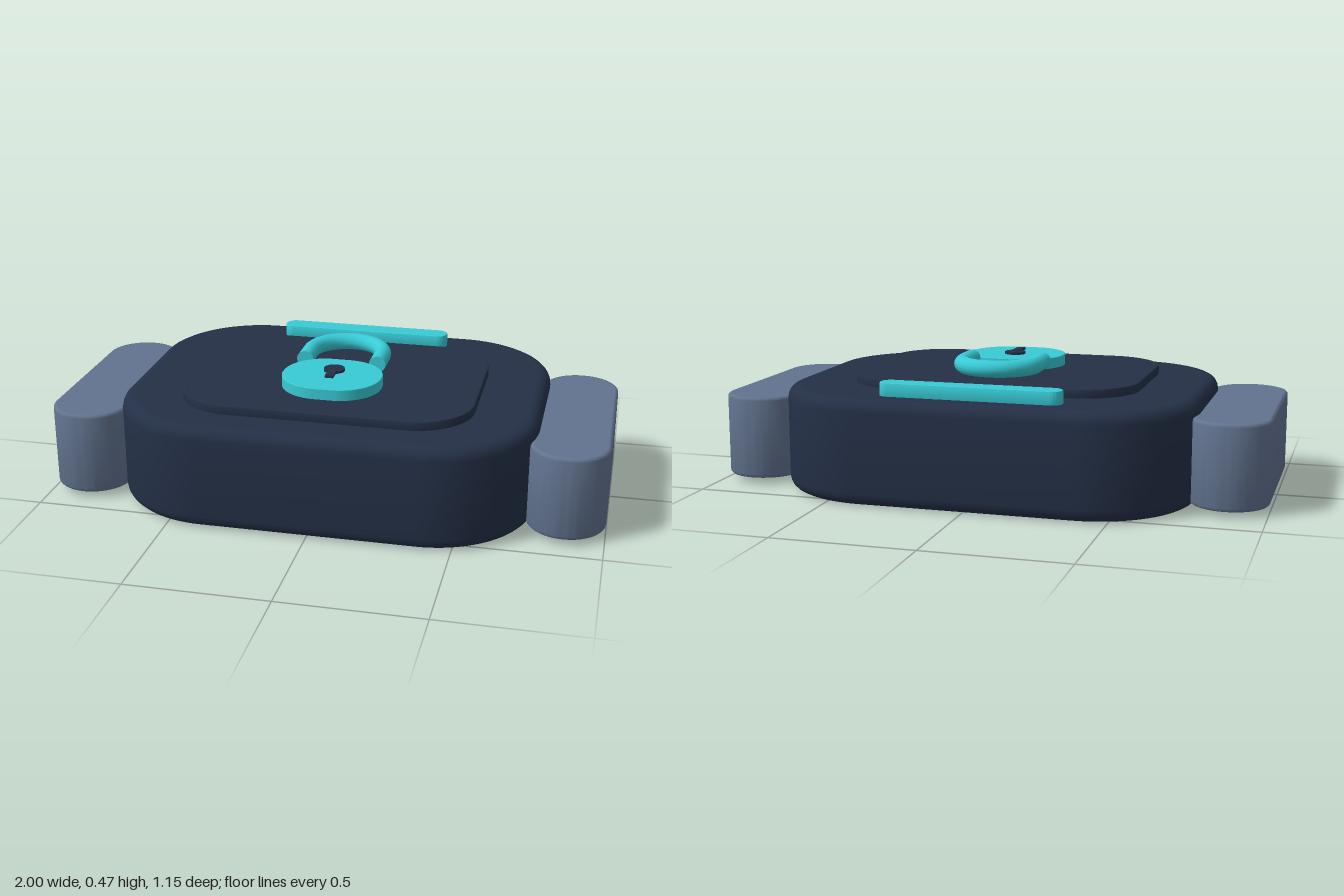
import * as THREE from 'three';
import { toCreasedNormals } from 'three/addons/utils/BufferGeometryUtils.js';

// Upright slab with a rounded-rectangle outline and softened rims, resting on y = 0
function slab(w, d, h, r, bevel, segments = 4) {
  const x = w / 2 - bevel, y = d / 2 - bevel;
  const c = Math.min(r - bevel, Math.min(x, y) - 0.001);
  const q = Math.PI / 2;
  const shape = new THREE.Shape();
  shape.absarc(x - c, y - c, c, 0, q);
  shape.absarc(-x + c, y - c, c, q, 2 * q);
  shape.absarc(-x + c, -y + c, c, 2 * q, 3 * q);
  shape.absarc(x - c, -y + c, c, 3 * q, 4 * q);
  shape.closePath();
  const raw = new THREE.ExtrudeGeometry(shape, {
    depth: h - 2 * bevel, curveSegments: 12, bevelEnabled: true,
    bevelThickness: bevel, bevelSize: bevel, bevelSegments: segments,
  });
  const geo = toCreasedNormals(raw, 0.6);
  // keep the flat top and bottom faces truly flat
  const p = geo.attributes.position, n = geo.attributes.normal;
  for (let i = 0; i < p.count; i += 3) {
    const z = p.getZ(i);
    if (Math.abs(z - p.getZ(i + 1)) < 1e-5 && Math.abs(z - p.getZ(i + 2)) < 1e-5) {
      for (let k = i; k < i + 3; k++) n.setXYZ(k, 0, 0, z > h / 2 ? 1 : -1);
    }
  }
  geo.translate(0, 0, bevel);
  geo.rotateX(-Math.PI / 2);
  return geo;
}

export function createModel() {
  const model = new THREE.Group();
  model.name = 'lockDevice';
  const navy = new THREE.MeshStandardMaterial({ name: 'navy', color: 0x243047 });
  const slate = new THREE.MeshStandardMaterial({ name: 'slate', color: 0x62738f });
  const teal = new THREE.MeshStandardMaterial({ name: 'teal', color: 0x38cbd6 });

  function add(name, geo, mat, x, y, z, parent = model) {
    const mesh = new THREE.Mesh(geo, mat);
    mesh.name = name;
    mesh.position.set(x, y, z);
    parent.add(mesh);
    return mesh;
  }

  // Case and raised face panel
  add('case', slab(1.5, 1.15, 0.375, 0.37, 0.045, 5), navy, 0, 0, 0);
  add('facePanel', slab(1.05, 0.775, 0.05, 0.21, 0.006, 2), navy, 0, 0.357, 0.042);

  // Strap stubs on both sides
  for (const [name, s] of [['leftStrap', 1], ['rightStrap', -1]]) {
    add(name, slab(0.276, 0.81, 0.3, 0.138, 0.012, 3), slate, s * 0.862, 0.022, 0.025);
  }

  // Status light bar
  add('lightBar', slab(0.65, 0.078, 0.06, 0.038, 0.005, 2), teal, 0, 0.362, -0.452);

  // Padlock emblem
  const lock = new THREE.Group();
  lock.name = 'padlock';
  model.add(lock);
  add('lockBody', slab(0.36, 0.31, 0.045, 0.15, 0.002, 1), teal, 0, 0.402, 0.145, lock);

  const tube = 0.031, bow = 0.135, level = 0.443, bend = -0.093;
  const arch = new THREE.TorusGeometry(bow, tube, 16, 32, Math.PI);
  arch.rotateX(-Math.PI / 2);
  add('shackleArch', arch, teal, 0, level, bend, lock);
  const legLength = 0.005 - bend;
  for (const s of [1, -1]) {
    const leg = new THREE.CylinderGeometry(tube, tube, legLength, 16);
    leg.rotateX(Math.PI / 2);
    add(s > 0 ? 'leftShackleLeg' : 'rightShackleLeg', leg, teal, s * bow, level, bend + legLength / 2, lock);
  }

  // Keyhole
  add('keyholeRound', new THREE.CylinderGeometry(0.038, 0.038, 0.009, 24), navy, 0, 0.453, 0.112, lock);
  add('keyholeSlot', new THREE.BoxGeometry(0.03, 0.009, 0.08), navy, 0, 0.456, 0.16, lock);

  return model;
}
